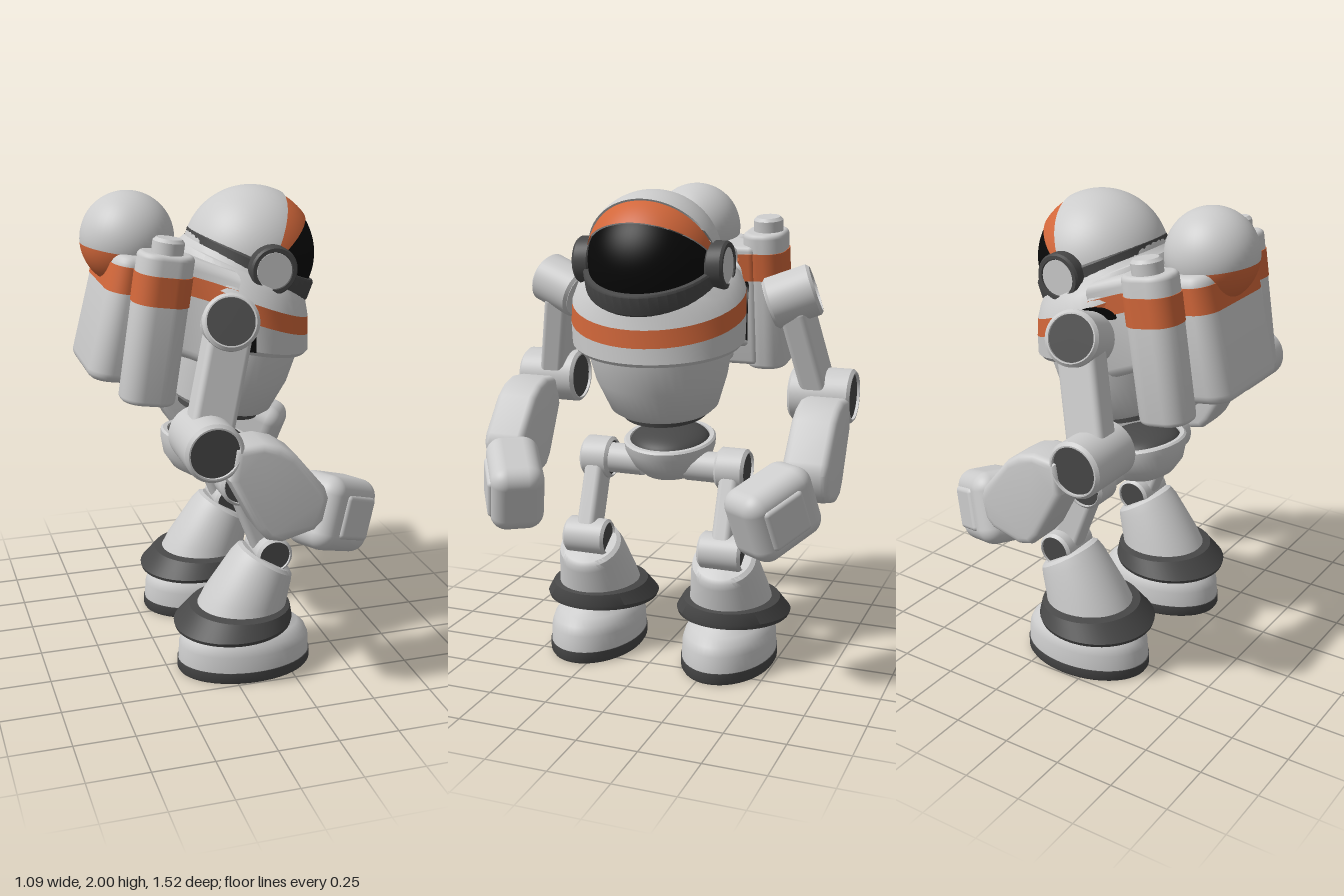
import * as THREE from 'three';
import { toCreasedNormals } from 'three/addons/utils/BufferGeometryUtils.js';
import { RoundedBoxGeometry } from 'three/addons/geometries/RoundedBoxGeometry.js';

const mat = (color) => new THREE.MeshStandardMaterial({ color, side: THREE.DoubleSide });
const grey = mat(0xcccccc), dark = mat(0x484848), black = mat(0x080808), orange = mat(0xd2673a);
const Y = new THREE.Vector3(0, 1, 0), Z = new THREE.Vector3(0, 0, 1);

function add(parent, name, geometry, material, x = 0, y = 0, z = 0) {
  const m = new THREE.Mesh(geometry, material);
  m.name = name;
  m.position.set(x, y, z);
  parent.add(m);
  return m;
}

function group(parent, name, x = 0, y = 0, z = 0) {
  const g = new THREE.Group();
  g.name = name;
  g.position.set(x, y, z);
  parent.add(g);
  return g;
}

// creases at a large scale so that close vertices stay apart
function crease(geo) {
  const g = toCreasedNormals(geo.scale(100, 100, 100), 0.6);
  return g.scale(0.01, 0.01, 0.01);
}

// skin over elliptical rings, bottom to top: [cx, cy, rx, rz, tilt]
function loft(rings) {
  const geo = new THREE.LatheGeometry(rings.map((r, i) => new THREE.Vector2(1, i)), 48);
  const p = geo.attributes.position;
  for (let i = 0; i < p.count; i++) {
    const [cx, cy, rx, rz, t = 0] = rings[Math.round(p.getY(i))];
    const x = p.getX(i) * rx;
    p.setXYZ(i, cx + x * Math.cos(t), cy + x * Math.sin(t), p.getZ(i) * rz);
  }
  return crease(geo);
}

// outline extruded along z from z0 to z1, with rounded edges
function extrude(shape, z0, z1, bevel = 0) {
  return new THREE.ExtrudeGeometry(shape, {
    depth: z1 - z0 - 2 * bevel, curveSegments: 10,
    bevelEnabled: bevel > 0, bevelSize: bevel, bevelOffset: -bevel, bevelThickness: bevel, bevelSegments: 4,
  }).translate(0, 0, z0 + bevel);
}

// rounded rectangle in plan, raised from y0 to y1; the back leans in toward the top
function slab(x0, x1, z0, z1, r, y0, y1, bevel = 0, lean = 0) {
  const s = new THREE.Shape();
  s.absarc(x1 - r, z1 - r, r, 0, Math.PI / 2);
  s.absarc(x0 + r, z1 - r, r, Math.PI / 2, Math.PI);
  s.absarc(x0 + r, z0 + r, r, Math.PI, Math.PI * 1.5);
  s.absarc(x1 - r, z0 + r, r, Math.PI * 1.5, Math.PI * 2);
  const geo = extrude(s, y0, y1, bevel).rotateX(-Math.PI / 2);
  const p = geo.attributes.position;
  for (let i = 0; i < p.count; i++) {
    const back = THREE.MathUtils.clamp(-p.getX(i) / 0.19, 0, 1);
    p.setX(i, p.getX(i) + back * lean * (p.getY(i) + 0.24));
  }
  return crease(geo);
}

// round pivot with a recessed dark disc in each end
function joint(parent, name, pos, axis, r, len) {
  const g = group(parent, name, ...pos);
  const h = len / 2, k = r * 0.84, e = 0.012;
  const pts = [[k, e - h], [k, -h], [r - e, -h], [r, e - h], [r, h - e], [r - e, h], [k, h], [k, h - e]];
  add(g, 'housing', crease(new THREE.LatheGeometry(pts.map((p) => new THREE.Vector2(...p)), 40)), grey);
  add(g, 'core', new THREE.CylinderGeometry(k, k, len - 2 * e, 40), dark);
  g.quaternion.setFromUnitVectors(Y, new THREE.Vector3(...axis).normalize());
  return g;
}

// rounded bar from a to b, its depth kept along z
function beam(parent, name, a, b, w, d) {
  const A = new THREE.Vector3(...a), B = new THREE.Vector3(...b);
  const m = add(parent, name, new RoundedBoxGeometry(w, A.distanceTo(B), d, 3, 0.025), grey);
  m.position.copy(A).lerp(B, 0.5);
  const dir = B.sub(A).normalize();
  const side = dir.clone().cross(Z).normalize();
  m.quaternion.setFromRotationMatrix(new THREE.Matrix4().makeBasis(side, dir, side.clone().cross(dir)));
}

function buildTorso(root) {
  const g = group(root, 'torso');
  const lip = [0.135, 1.5, 0.305, 0.37, -0.35], bandTop = [0.135, 1.578, 0.305, 0.365, -0.37];
  add(g, 'bowl', loft([
    [0.06, 1.09, 0, 0, -0.2], [0.06, 1.09, 0.185, 0.21, -0.2], [0.065, 1.11, 0.21, 0.232, -0.2],
    [0.1, 1.24, 0.245, 0.28, -0.2], [0.125, 1.37, 0.262, 0.308, -0.2], [0.13, 1.4, 0.262, 0.308, -0.2],
  ]), grey);
  add(g, 'waistPlate', loft([[0.05, 1.065, 0, 0, -0.2], [0.05, 1.065, 0.17, 0.18, -0.2], [0.06, 1.1, 0.17, 0.18, -0.2]]), dark);
  add(g, 'chest', loft([
    [0.13, 1.385, 0.24, 0.3, -0.2], [0.13, 1.375, 0.285, 0.348, -0.2], [0.13, 1.395, 0.3, 0.366, -0.21], lip,
  ]), grey);
  add(g, 'chestStripe', loft([lip, bandTop]), orange);
  add(g, 'shoulders', loft([
    bandTop, [0.14, 1.635, 0.295, 0.34, -0.4], [0.15, 1.67, 0.282, 0.3, -0.42],
    [0.16, 1.67, 0.287, 0.29, -0.42], [0.175, 1.69, 0.28, 0.28, -0.42],
  ]), grey);
  // shoulder block narrowing toward the backpack
  const b = group(g, 'backBridge', -0.05, 1.53, 0);
  b.rotation.z = -0.3;
  const half = [[-0.15, 0.245], [-0.05, 0.275], [0.05, 0.328]];
  const plan = [...half, ...half.map(([x, z]) => [x, -z]).reverse()].reverse();
  const outline = (grow) => new THREE.Shape(plan.map(([x, z]) => new THREE.Vector2(x, z + Math.sign(z) * grow)));
  add(b, 'bridge', crease(extrude(outline(0), -0.19, 0.2, 0.04).rotateX(-Math.PI / 2)), grey);
  add(b, 'bridgeStripe', crease(extrude(outline(0.003), 0.06, 0.135).rotateX(-Math.PI / 2)), orange);
  // dark arm openings that follow the curve of the chest
  const arch = new THREE.Shape();
  arch.moveTo(-0.085, 1.4);
  arch.lineTo(0.1, 1.4);
  arch.absarc(0.005, 1.53, 0.095, 0, Math.PI);
  const holes = extrude(arch, -1, 1);
  const p = holes.attributes.position;
  for (let i = 0; i < p.count; i++) {
    const x = p.getX(i), chest = 0.37 * Math.sqrt(1 - ((x - 0.135) / 0.305) ** 2);
    p.setZ(i, p.getZ(i) * Math.max(chest + 0.004, 0.305 + 0.4 * x));
  }
  add(g, 'armOpenings', crease(holes), black);
}

function buildHead(root) {
  const g = group(root, 'head', 0.19, 1.72, 0);
  const wedge = (name, r, a0, a1, m) => {
    const d = THREE.MathUtils.degToRad;
    const s = new THREE.SphereGeometry(r, 40, 40, d(a0 - 180), d(a1 - a0));
    add(g, name, s.rotateX(Math.PI / 2), m);
  };
  wedge('visor', 0.264, -45, 37, black);
  wedge('browStripe', 0.272, 37, 63, orange);
  wedge('helmet', 0.28, 63, 175, grey);
  const t = -0.43, low = -0.5;
  add(g, 'collar', loft([
    [-0.02, -0.068, 0.25, 0.25, low], [-0.02, -0.068, 0.276, 0.28, low], [-0.018, -0.058, 0.284, 0.288, low],
    [0, -0.006, 0.284, 0.288, t], [0.003, 0.002, 0.278, 0.282, t], [0.003, 0.002, 0.25, 0.25, t],
  ]), dark);
  for (const s of [1, -1]) {
    const e = group(g, s > 0 ? 'leftEar' : 'rightEar', 0, -0.01, s * 0.285);
    e.rotation.x = s * Math.PI / 2;
    const pts = [[0.07, -0.04], [0.09, -0.04], [0.097, -0.03], [0.097, 0.025], [0.09, 0.035], [0.075, 0.035], [0.07, 0.02]];
    add(e, 'earRing', crease(new THREE.LatheGeometry(pts.map((p) => new THREE.Vector2(...p)), 40)), dark);
    add(e, 'earCap', new THREE.CylinderGeometry(0.072, 0.072, 0.06, 40), grey);
  }
}

function buildBackpack(root) {
  const g = group(root, 'backpack', -0.32, 1.5, 0);
  g.rotation.z = -0.15;
  add(g, 'pack', slab(-0.19, 0.16, -0.24, 0.24, 0.09, -0.24, 0.27, 0.04, 0.1), grey);
  add(g, 'packStripe', slab(-0.193, 0.163, -0.243, 0.243, 0.092, 0.125, 0.23, 0, 0.1), orange);
  // web joining the side tanks to the pack
  add(g, 'tankWeb', slab(-0.04, 0.135, -0.32, 0.32, 0.03, -0.25, 0.27, 0.02), grey);
  add(g, 'webStripe', slab(-0.043, 0.138, -0.32, 0.32, 0.03, 0.125, 0.24), orange);
  for (const s of [1, -1]) {
    const [z0, z1] = s > 0 ? [0.25, 0.428] : [-0.428, -0.25];
    add(g, 'sideTank', slab(-0.09, 0.13, z0, z1, 0.08, -0.27, 0.32, 0.02), grey);
    add(g, 'tankStripe', slab(-0.093, 0.133, z0 - 0.003, z1 + 0.003, 0.082, 0.125, 0.24), orange);
    add(g, 'tankCap', loft([[0, 0.3, 0.062, 0.062], [0, 0.365, 0.062, 0.062], [0, 0.378, 0.05, 0.05], [0, 0.378, 0, 0]]), grey, 0.02, 0, s * 0.35);
  }
  // ball tank with a coloured lower band
  const b = group(g, 'ballTank', -0.055, 0.305, 0);
  const cut = 1.78;
  add(b, 'ballTop', new THREE.SphereGeometry(0.19, 40, 24, 0, Math.PI * 2, 0, cut), grey);
  add(b, 'ballBottom', new THREE.SphereGeometry(0.19, 40, 24, 0, Math.PI * 2, cut, Math.PI - cut), orange);
}

function buildArm(root, s) {
  const g = group(root, s > 0 ? 'leftArm' : 'rightArm');
  const shoulder = joint(g, 'shoulder', [-0.055, 1.565, s * 0.515], [-0.22, 0.34, s * 0.92], 0.108, 0.2);
  add(shoulder, 'innerPlate', new THREE.CylinderGeometry(0.095, 0.095, 0.02, 40), grey, 0, -0.092, 0);
  beam(g, 'upperArm', [-0.065, 1.53, s * 0.525], [-0.175, 1.13, s * 0.615], 0.175, 0.11);
  joint(g, 'elbow', [-0.18, 1.14, s * 0.625], [0, 0, 1], 0.115, 0.265);
  // forearm widening toward the wrist
  const side = [
    [-0.12, 1.02], [-0.01, 0.81], [0.03, 0.765], [0.09, 0.75], [0.22, 0.785], [0.255, 0.82],
    [0.275, 0.91], [0.26, 0.955], [0.14, 1.1], [0.08, 1.14], [0.01, 1.16], [-0.1, 1.15],
  ];
  const arm = new THREE.Shape(side.map((p) => new THREE.Vector2(...p)));
  add(g, 'forearm', crease(extrude(arm, -0.095, 0.095, 0.03)), grey, 0, 0, s * 0.665);
  const h = group(g, 'hand', 0.358, 0.775, s * 0.567);
  h.rotation.set(0, s * 0.58, -0.36, 'YXZ');
  add(h, 'fist', new RoundedBoxGeometry(0.34, 0.3, 0.225, 6, 0.07), grey);
  add(h, 'knucklePad', new RoundedBoxGeometry(0.2, 0.18, 0.04, 5, 0.02), grey, 0.02, 0, s * 0.104);
}

function buildLeg(root, s) {
  const g = group(root, s > 0 ? 'leftLeg' : 'rightLeg');
  const z = s * 0.305;
  const hip = add(g, 'hipAxle', new THREE.CylinderGeometry(0.065, 0.065, 0.18, 32), grey, 0.05, 0.84, s * 0.19);
  hip.rotation.x = Math.PI / 2;
  joint(g, 'hip', [0.05, 0.84, z], [0, 0, 1], 0.09, 0.13);
  beam(g, 'thigh', [0.06, 0.84, z], [0.185, 0.52, z], 0.13, 0.085);
  joint(g, 'knee', [0.185, 0.52, z], [0, 0, 1], 0.078, 0.19);
  add(g, 'shin', loft([
    [0.06, 0.26, 0.195, 0.18, 0], [0.085, 0.32, 0.178, 0.168, -0.15], [0.152, 0.445, 0.143, 0.145, -0.48],
    [0.17, 0.475, 0.132, 0.135, -0.55], [0.176, 0.485, 0.115, 0.118, -0.55], [0.176, 0.485, 0, 0, -0.55],
  ]), grey, 0, 0, z);
  add(g, 'ankleCuff', loft([
    [0.05, 0.225, 0.15, 0.14, 0.03], [0.03, 0.205, 0.248, 0.238, 0.03], [0.03, 0.222, 0.252, 0.245, 0.04],
    [0.06, 0.283, 0.215, 0.207, -0.02], [0.06, 0.292, 0.18, 0.17, 0],
  ]), dark, 0, 0, z);
  add(g, 'foot', loft([
    [0.08, 0.05, 0.287, 0.193], [0.08, 0.12, 0.283, 0.19], [0.078, 0.155, 0.27, 0.18],
    [0.075, 0.185, 0.24, 0.158], [0.07, 0.205, 0.19, 0.13], [0.065, 0.25, 0.15, 0.12],
  ]), grey, 0, 0, z);
  add(g, 'sole', loft([
    [0.08, 0, 0, 0], [0.08, 0, 0.285, 0.19], [0.08, 0.01, 0.291, 0.196], [0.08, 0.05, 0.291, 0.196], [0.08, 0.05, 0.25, 0.17],
  ]), dark, 0, 0, z);
}

function buildPelvis(root) {
  const g = group(root, 'pelvis', 0, 0.93, 0);
  g.rotation.z = -0.17;
  add(g, 'hipBowl', loft([
    [0, -0.165, 0, 0], [0, -0.16, 0.07, 0.07], [0, -0.135, 0.125, 0.125], [0, -0.085, 0.172, 0.172],
    [0, -0.02, 0.195, 0.195], [0, 0.012, 0.198, 0.198], [0, 0.02, 0.19, 0.19], [0, 0.02, 0.172, 0.172], [0, 0, 0.17, 0.17],
  ]), grey);
  const dome = add(g, 'waistDome', new THREE.SphereGeometry(0.172, 40, 16, 0, Math.PI * 2, 0, Math.PI / 2), dark);
  dome.scale.y = 0.38;
}

export function createModel() {
  const root = new THREE.Group();
  root.name = 'robot';
  buildTorso(root);
  buildHead(root);
  buildBackpack(root);
  buildPelvis(root);
  for (const s of [1, -1]) {
    buildArm(root, s);
    buildLeg(root, s);
  }
  return root;
}
